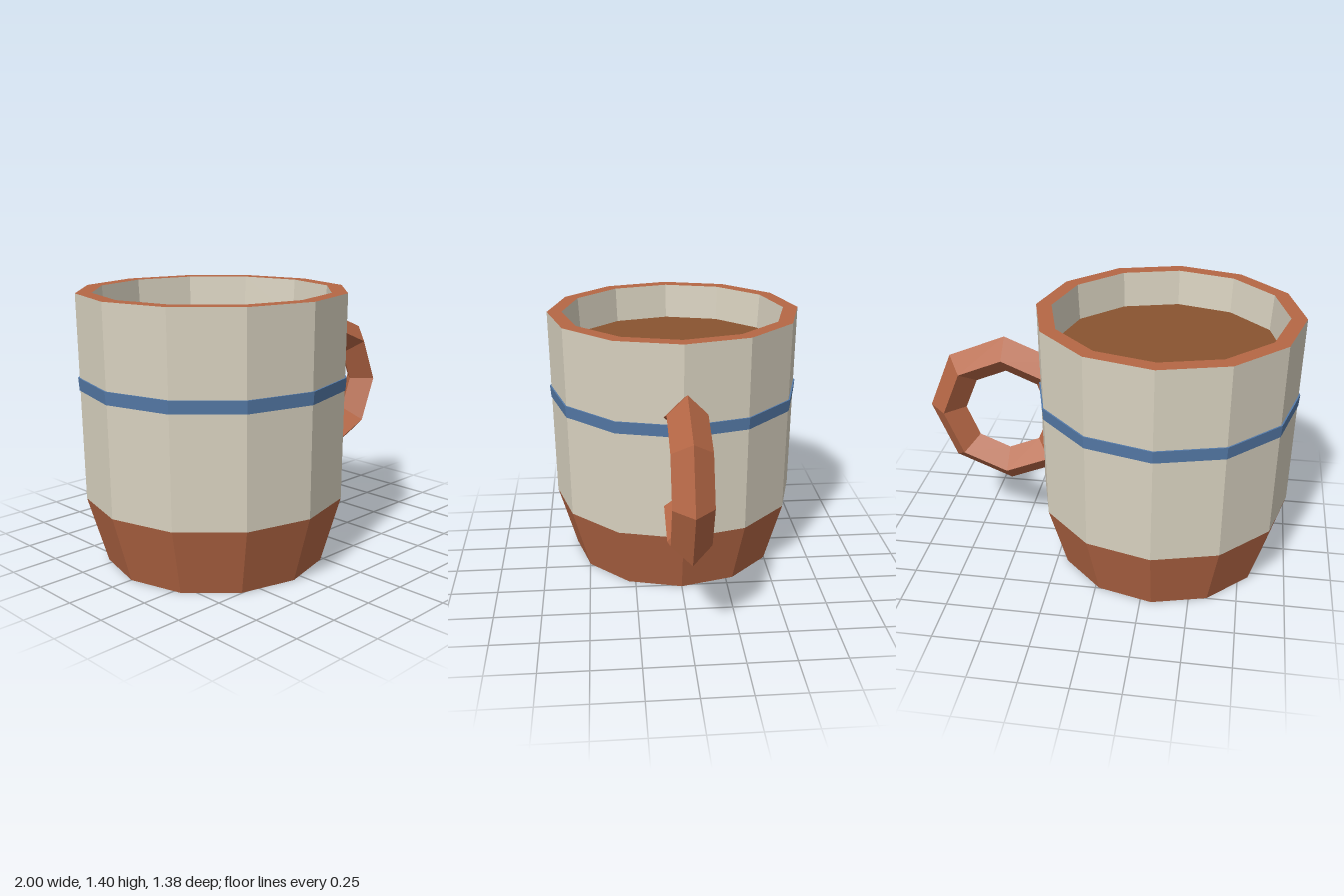
import * as THREE from 'three';

const SIDES = 12;

function material(name, color) {
  return new THREE.MeshStandardMaterial({ name, color, flatShading: true });
}

export function createModel() {
  const cream = material('cream glaze', 0xd9d2c0);
  const clay = material('terracotta', 0xb56745);
  const blue = material('blue glaze', 0x557aa8);
  const coffee = material('coffee brown', 0x895430);

  const model = new THREE.Group();
  model.name = 'mug';
  const body = new THREE.Group();
  body.name = 'body';
  body.position.x = -0.308;
  model.add(body);

  function add(parent, name, geometry, mat) {
    const mesh = new THREE.Mesh(geometry, mat);
    mesh.name = name;
    parent.add(mesh);
    return mesh;
  }

  // Faceted ring from [radius, height] pairs, outside going up
  function ring(name, points, mat) {
    const profile = points.map(([r, y]) => new THREE.Vector2(r, y));
    return add(body, name, new THREE.LatheGeometry(profile, SIDES), mat);
  }

  // Flat twelve-sided disc facing up or down
  function disc(name, radius, y, down, mat) {
    const mesh = add(body, name, new THREE.CircleGeometry(radius, SIDES), mat);
    mesh.rotation.x = down ? Math.PI / 2 : -Math.PI / 2;
    mesh.position.y = y;
  }

  // Body, from the foot up to the rim and down inside
  disc('underside', 0.575, 0, true, coffee);
  ring('base', [[0.575, 0], [0.676, 0.35]], clay);
  ring('outerWall', [[0.676, 0.35], [0.689, 1.405]], cream);
  ring('rim', [[0.689, 1.405], [0.608, 1.405]], clay);
  ring('innerWall', [[0.608, 1.405], [0.595, 1.2]], cream);
  disc('drink', 0.597, 1.21, false, coffee);

  // Painted stripe
  ring('stripe', [[0.683, 0.92], [0.687, 0.92], [0.692, 0.985], [0.684, 0.985]], blue);

  // Eight-segment handle loop with a diamond section, sunk into the wall
  const handle = add(model, 'handle', new THREE.TorusGeometry(0.336, 0.1, 4, 8), clay);
  handle.position.set(0.562, 0.775, 0);

  return model;
}
